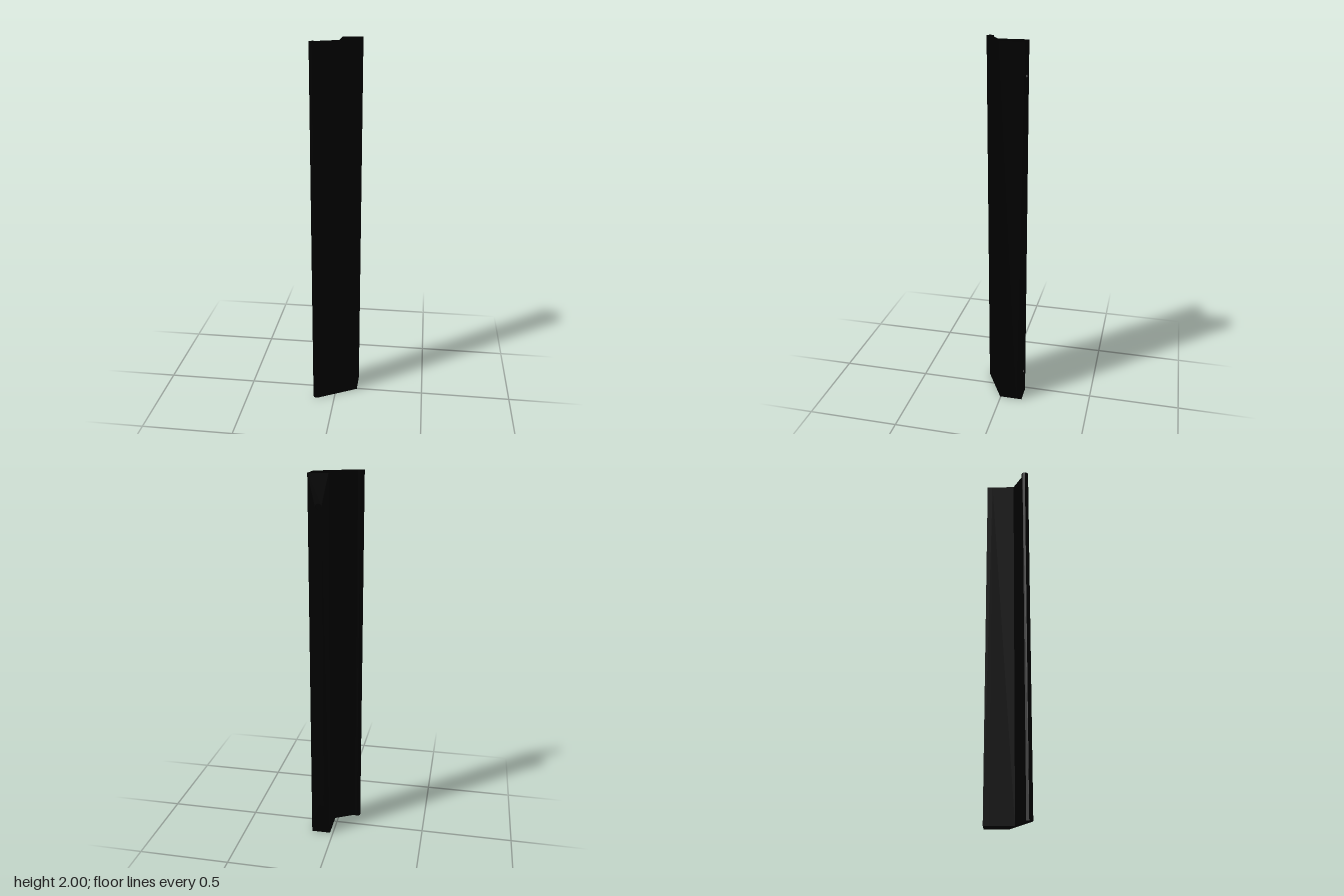
import * as THREE from 'three';

const HEIGHT = 2;
const BACK = -0.122;       // z of the mounting face
const PLATE = 0.03;        // depth of the screw recesses
const POST = [0.017, 0.121]; // x range of the post

export function createModel() {
  const group = new THREE.Group();
  const material = new THREE.MeshStandardMaterial({ color: 0x000000 });

  const add = (name, geometry) => {
    const mesh = new THREE.Mesh(geometry, material);
    mesh.name = name;
    group.add(mesh);
    return mesh;
  };

  // Extrude an outline of [x, z] points upwards
  const extrudeUp = (points) => {
    const shape = new THREE.Shape(points.map(([x, z]) => new THREE.Vector2(x, -z)));
    return new THREE.ExtrudeGeometry(shape, { depth: HEIGHT, bevelEnabled: false }).rotateX(-Math.PI / 2);
  };

  // Post with the slanted flange and its rounded edge bead
  const profile = [
    [POST[0], BACK + PLATE], [POST[0], 0.034], [-0.089, 0.09],
    [-0.104, 0.083], [-0.117, 0.088], [-0.122, 0.102], [-0.117, 0.116],
    [-0.106, 0.121], [-0.092, 0.119],
    [POST[1], 0.004], [POST[1], BACK + PLATE],
  ];
  add('postAndFlange', extrudeUp(profile));

  // Back layer of the post with two screw recesses
  const plate = new THREE.Shape([
    new THREE.Vector2(POST[0], 0), new THREE.Vector2(POST[1], 0),
    new THREE.Vector2(POST[1], HEIGHT), new THREE.Vector2(POST[0], HEIGHT),
  ]);
  for (const y of [0.16, 1.84]) {
    const hole = new THREE.Path();
    hole.absarc((POST[0] + POST[1]) / 2, y, 0.016, 0, Math.PI * 2, true);
    plate.holes.push(hole);
  }
  const back = add('mountingBack', new THREE.ExtrudeGeometry(plate, { depth: PLATE, bevelEnabled: false, curveSegments: 16 }));
  back.position.z = BACK;

  return group;
}
